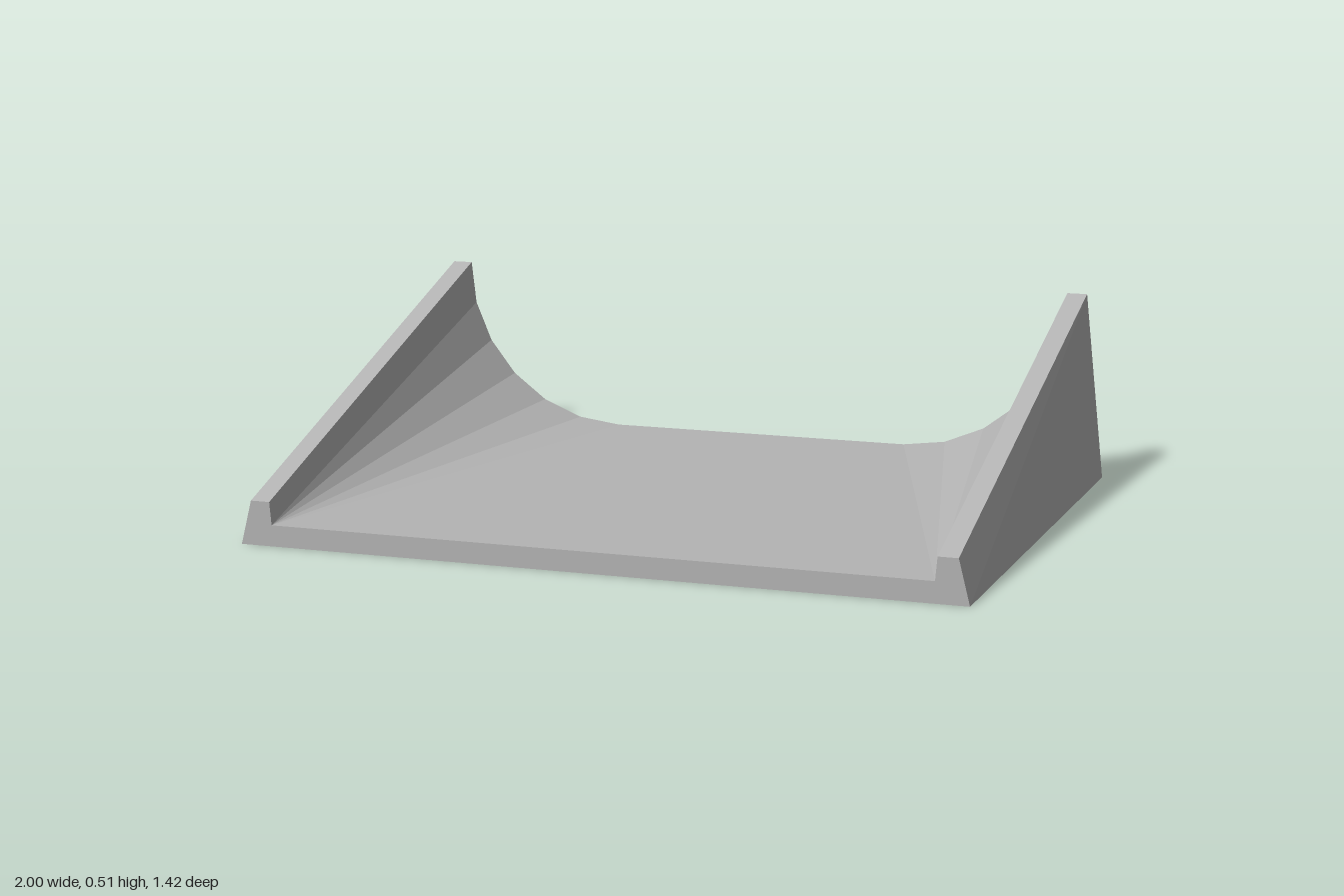
import * as THREE from 'three';

const DEPTH = 0.71;   // half length front to back
const FLOOR = 0.055;  // thickness of the base plate
const STEPS = 6;      // facets of each flared corner

// Completes a right-hand half outline (counter-clockwise) with its mirror image.
function mirrored(half, z) {
  const left = half.map(([x, y]) => [-x, y]).reverse();
  return [...half, ...left].map(([x, y]) => new THREE.Vector3(x, y, z));
}

function cradleGeometry() {
  // Front section: low rails with a square inner corner, where the fan converges
  const front = [[0.943, 0], [0.914, 0.115], [0.863, 0.115]];
  // Back section: tall rails with a quarter-round inner corner
  const back = [[1, 0], [0.943, 0.515], [0.888, 0.515]];
  const radius = 0.46;
  for (let i = 1; i <= STEPS; i++) {
    const a = (i / STEPS) * Math.PI / 2;
    front.push([0.858, FLOOR]);
    back.push([0.43 + radius * Math.cos(a), FLOOR + radius * (1 - Math.sin(a))]);
  }
  const f = mirrored(front, DEPTH);
  const b = mirrored(back, -DEPTH);

  const positions = [];
  const tri = (p, q, r) => {
    const area = q.clone().sub(p).cross(r.clone().sub(p)).length();
    if (area > 1e-7) for (const v of [p, q, r]) positions.push(v.x, v.y, v.z);
  };

  // Skin between the two sections
  f.forEach((_, i) => {
    const j = (i + 1) % f.length;
    tri(f[i], b[i], b[j]);
    tri(f[i], b[j], f[j]);
  });

  // End faces
  const cap = (pts, flip) => {
    const unique = pts.filter((p, i) => i === 0 || p.distanceTo(pts[i - 1]) > 1e-6);
    const flat = unique.map((p) => new THREE.Vector2(p.x, p.y));
    for (const [i, j, k] of THREE.ShapeUtils.triangulateShape(flat, [])) {
      if (flip) tri(unique[i], unique[k], unique[j]);
      else tri(unique[i], unique[j], unique[k]);
    }
  };
  cap(f, false);
  cap(b, true);

  const geometry = new THREE.BufferGeometry();
  geometry.setAttribute('position', new THREE.Float32BufferAttribute(positions, 3));
  geometry.computeVertexNormals(); // unshared corners give flat facets
  return geometry;
}

export function createModel() {
  const grey = new THREE.MeshStandardMaterial({ color: 0xb4b4b4 });
  grey.name = 'light grey';

  const tray = new THREE.Mesh(cradleGeometry(), grey);
  tray.name = 'flaredTray';

  const group = new THREE.Group();
  group.name = 'tray';
  group.add(tray);
  return group;
}
